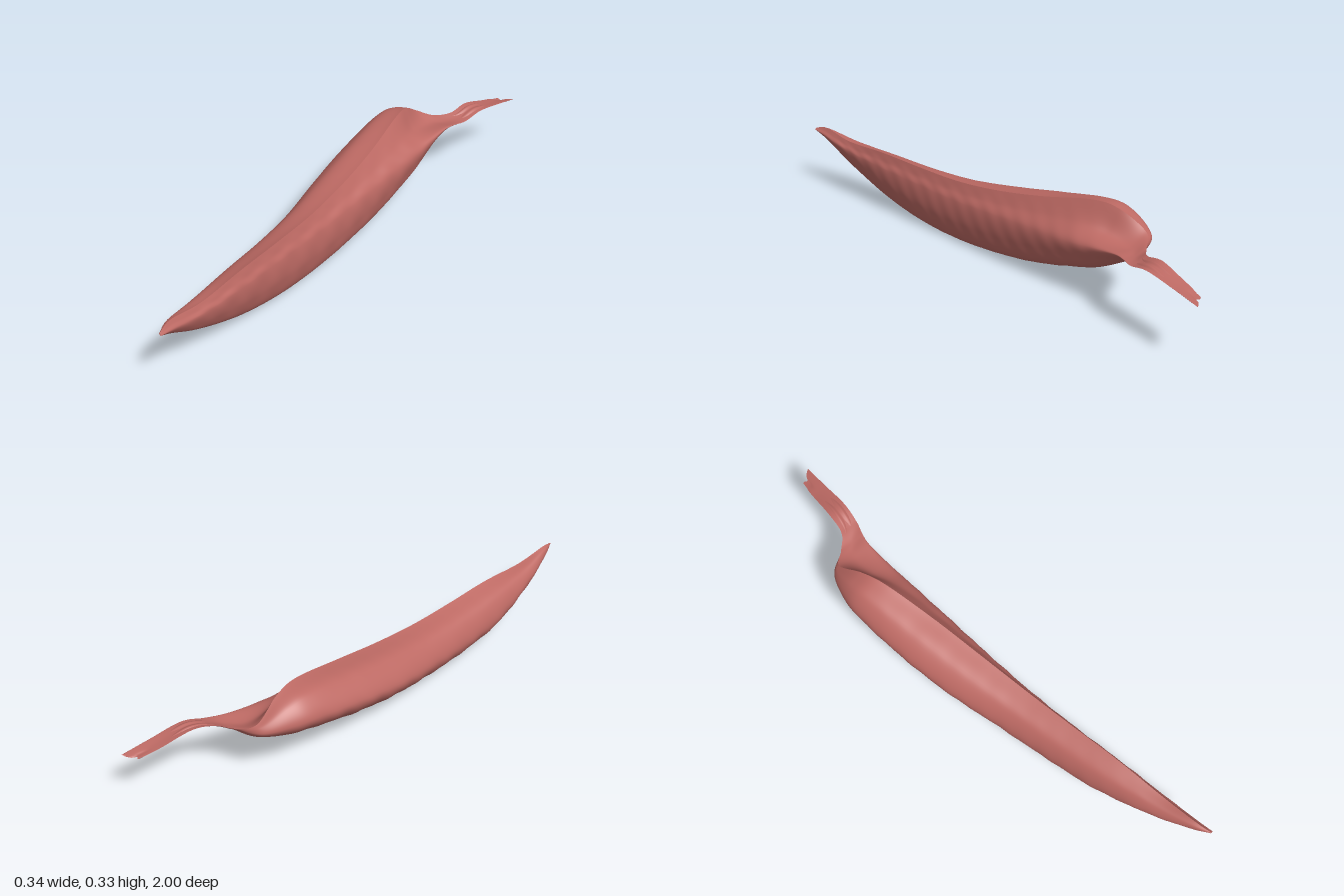
import * as THREE from 'three';

// Stations along the leaf: z, then x,y of folded rim, outer bulge, keel, inner side
const STATIONS = [
  [1.0, 0.16, 0.242, 0.158, 0.238, 0.163, 0.233, 0.168, 0.236],
  [0.94, 0.146, 0.252, 0.125, 0.225, 0.142, 0.198, 0.162, 0.225],
  [0.8, 0.135, 0.233, 0.07, 0.185, 0.115, 0.12, 0.152, 0.2],
  [0.6, 0.115, 0.24, 0.012, 0.13, 0.092, 0.046, 0.134, 0.185],
  [0.4, 0.09, 0.236, -0.03, 0.12, 0.08, 0.012, 0.112, 0.175],
  [0.2, 0.065, 0.237, -0.073, 0.135, 0.067, 0.004, 0.094, 0.17],
  [0, 0.037, 0.257, -0.122, 0.165, 0.056, 0.02, 0.081, 0.18],
  [-0.2, 0.004, 0.292, -0.156, 0.205, 0.043, 0.052, 0.071, 0.195],
  [-0.4, -0.04, 0.334, -0.173, 0.24, 0.028, 0.105, 0.06, 0.21],
  [-0.5, -0.068, 0.325, -0.164, 0.245, 0.014, 0.138, 0.052, 0.222],
  [-0.6, -0.095, 0.268, -0.122, 0.24, 0.003, 0.192, 0.05, 0.234],
  [-0.65, -0.045, 0.243, -0.035, 0.235, 0.012, 0.222, 0.06, 0.236],
  [-0.7, 0.003, 0.25, 0.022, 0.246, 0.05, 0.24, 0.077, 0.238],
  [-0.78, 0.016, 0.265, 0.04, 0.264, 0.066, 0.261, 0.089, 0.255],
  [-0.9, 0.031, 0.238, 0.05, 0.234, 0.074, 0.233, 0.093, 0.239],
  [-1.0, 0.044, 0.224, 0.058, 0.219, 0.08, 0.218, 0.098, 0.223],
];

// Lengthwise guide curve for one column pair
const rail = (c) => new THREE.CatmullRomCurve3(
  STATIONS.map((s) => new THREE.Vector3(s[c], s[c + 1], s[0])), false, 'catmullrom', 0.5);

// Point halfway between a and b, pushed to the side by a share of their distance
function bulge(a, b, amount) {
  const d = b.clone().sub(a);
  return a.clone().lerp(b, 0.5).add(new THREE.Vector3(d.y * amount, -d.x * amount, 0));
}

function leafGeometry(rows, cols) {
  const rails = [1, 3, 5, 7].map(rail);
  const positions = [];
  const index = [];
  for (let i = 0; i <= rows; i++) {
    const [rim, out, keel, side] = rails.map((r) => r.getPoint(i / rows));
    const z = rim.z;
    // Hollow where the blade narrows into the stem
    const hollow = Math.exp(-Math.pow((z + 0.53) / 0.11, 2));
    // Cross-section from the rim, round the keel and back up to the rim
    const section = new THREE.CatmullRomCurve3([
      rim, bulge(rim, out, 0.2), out, bulge(out, keel, 0.13), keel,
      bulge(keel, side, 0.1), side, bulge(side, rim, -0.02 - 0.16 * hollow), rim,
    ]);
    const body = THREE.MathUtils.smoothstep(z, -0.6, -0.3) * (1 - THREE.MathUtils.smoothstep(z, 0.7, 1));
    const frayed = THREE.MathUtils.smoothstep(-z, 0.9, 1);
    for (let j = 0; j <= cols; j++) {
      const t = j / cols;
      const p = section.getPoint(t);
      // Fine slanting wrinkles, fading out at the rim
      const wrinkle = body * Math.sin(Math.PI * t)
        * (0.0008 * Math.sin(z * 42 + t * 22) + 0.0007 * Math.sin(z * 75 - t * 31));
      p.x += wrinkle;
      p.y += wrinkle;
      // Torn, slanting stem end with a notch
      const across = (p.x - rim.x) / (side.x - rim.x);
      p.z += frayed * (0.035 * (1 - across) + 0.015 * Math.exp(-Math.pow((across - 0.35) / 0.15, 2)));
      positions.push(p.x, p.y, p.z);
      if (i < rows && j < cols) {
        const a = i * (cols + 1) + j;
        const b = a + cols + 1;
        index.push(a, a + 1, b, b, a + 1, b + 1);
      }
    }
  }
  const geometry = new THREE.BufferGeometry();
  geometry.setAttribute('position', new THREE.Float32BufferAttribute(positions, 3));
  geometry.setIndex(index);
  geometry.computeVertexNormals();
  return geometry;
}

export function createModel() {
  const group = new THREE.Group();
  group.name = 'foldedLeaf';
  const leafRed = new THREE.MeshStandardMaterial({ color: 0xbe6a64, side: THREE.DoubleSide });
  leafRed.name = 'leafRed';
  const leaf = new THREE.Mesh(leafGeometry(220, 72), leafRed);
  leaf.name = 'leafBladeAndStem';
  group.add(leaf);
  return group;
}
